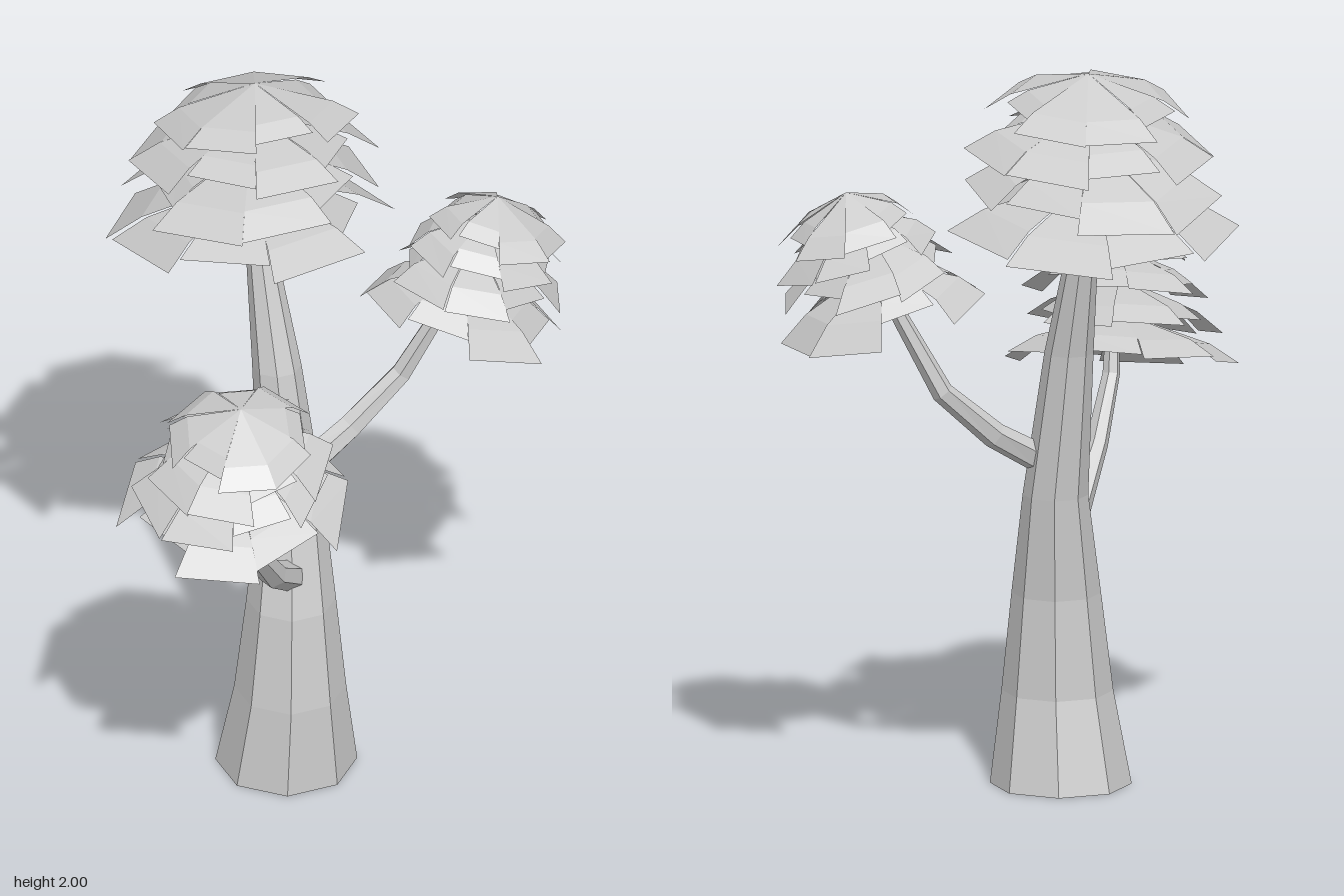
import * as THREE from 'three';

const material = new THREE.MeshStandardMaterial({ color: 0xcccccc, flatShading: true, side: THREE.DoubleSide });

// small seeded generator for ragged leaves
let seed = 7;
const rand = (a, b) => {
  seed = (seed * 16807) % 2147483647;
  return a + (b - a) * (seed / 2147483647);
};

function makeMesh(name, pos, index) {
  let g = new THREE.BufferGeometry();
  g.setAttribute('position', new THREE.Float32BufferAttribute(pos, 3));
  g.setIndex(index);
  g = g.toNonIndexed();
  g.computeVertexNormals();
  const mesh = new THREE.Mesh(g, material);
  mesh.name = name;
  return mesh;
}

// tapered, open-ended limb through [x, y, z, radius] stations
function limb(name, stations, sides, level) {
  const up = new THREE.Vector3(0, 1, 0);
  const pts = stations.map(s => new THREE.Vector3(s[0], s[1], s[2]));
  const pos = [], index = [];
  stations.forEach((s, i) => {
    const dir = pts[Math.min(i + 1, pts.length - 1)].clone().sub(pts[Math.max(i - 1, 0)]).normalize();
    const q = new THREE.Quaternion();
    if (!level) q.setFromUnitVectors(up, dir);
    for (let j = 0; j < sides; j++) {
      const a = (j / sides) * Math.PI * 2;
      const v = new THREE.Vector3(Math.sin(a) * s[3], 0, Math.cos(a) * s[3]).applyQuaternion(q).add(pts[i]);
      pos.push(v.x, v.y, v.z);
      if (i === 0) continue;
      const k = (j + 1) % sides, lo = (i - 1) * sides, hi = i * sides;
      index.push(lo + j, lo + k, hi + k, lo + j, hi + k, hi + j);
    }
  });
  return makeMesh(name, pos, index);
}

// drooping umbrella of wide wedge leaves with a stepped rim
function leafLayer(name, radius, drop, tiltX, tiltZ) {
  const n = 8, turn = rand(0, 6.28), pos = [], index = [];
  const put = (a, r, d) => {
    const x = Math.sin(a) * r, z = Math.cos(a) * r;
    pos.push(x, -d + tiltX * x + tiltZ * z, z);
  };
  for (let i = 0; i < n; i++) {
    const a0 = turn + (i / n) * Math.PI * 2;
    const a1 = a0 + (Math.PI * 2) / n;
    const size = i % 3 === 1 ? rand(0.76, 0.86) : rand(0.95, 1.03);
    const b = pos.length / 3;
    put(0, 0, 0);
    for (const a of [a0, a1]) {
      const s = size * rand(0.96, 1.03), d = drop * s * rand(0.92, 1.08);
      put(a, radius * s * 0.75, d * 0.6);
      put(a, radius * s, d);
    }
    index.push(b, b + 1, b + 3, b + 1, b + 2, b + 4, b + 1, b + 4, b + 3);
  }
  return makeMesh(name, pos, index);
}

// stack of leaf layers; lower layers shift by the given offset
function canopy(name, x, z, shiftX, shiftZ, tiltX, tiltZ, layers) {
  const group = new THREE.Group();
  group.name = name;
  layers.forEach(([y, r, drop], i) => {
    const t = i / (layers.length - 1);
    const layer = leafLayer('leafLayer' + (i + 1), r, drop, tiltX, tiltZ);
    layer.position.set(x + shiftX * t, y, z + shiftZ * t);
    group.add(layer);
  });
  return group;
}

export function createModel() {
  const tree = new THREE.Group();
  tree.name = 'tree';

  // leaning trunk, running up into the crown
  tree.add(limb('trunk', [
    [-0.006, 0, 0.05, 0.19], [-0.017, 0.25, 0.075, 0.15], [-0.008, 0.52, 0.07, 0.12],
    [0.028, 0.8, 0.035, 0.088], [0.035, 1.2, -0.025, 0.066],
    [0.064, 1.62, -0.13, 0.033], [0.1, 1.93, -0.17, 0.012],
  ], 8, true));

  // side branches
  tree.add(limb('rightBranch', [
    [-0.055, 0.63, 0.11, 0.042], [-0.17, 0.71, 0.16, 0.038], [-0.3, 0.86, 0.22, 0.031],
    [-0.39, 1.03, 0.26, 0.024], [-0.45, 1.36, 0.31, 0.01],
  ], 6, false));
  tree.add(limb('leftBranch', [
    [0.08, 0.91, 0.06, 0.04], [0.2, 0.98, 0.09, 0.036], [0.34, 1.11, 0.145, 0.03],
    [0.42, 1.31, 0.22, 0.023], [0.53, 1.59, 0.31, 0.01],
  ], 6, false));

  // foliage
  tree.add(canopy('topCanopy', 0.1, -0.17, -0.03, 0.01, -0.07, 0.12, [
    [2.0, 0.27, 0.105], [1.91, 0.33, 0.125], [1.82, 0.35, 0.145], [1.715, 0.39, 0.145],
  ]));
  tree.add(canopy('rightCanopy', -0.45, 0.31, 0.05, -0.08, 0.2, -0.15, [
    [1.43, 0.21, 0.1], [1.37, 0.25, 0.125], [1.29, 0.27, 0.13], [1.2, 0.32, 0.13],
  ]));
  tree.add(canopy('leftCanopy', 0.53, 0.32, -0.09, -0.04, -0.26, -0.1, [
    [1.66, 0.19, 0.11], [1.61, 0.21, 0.125], [1.545, 0.24, 0.14], [1.465, 0.27, 0.15],
  ]));
  return tree;
}
